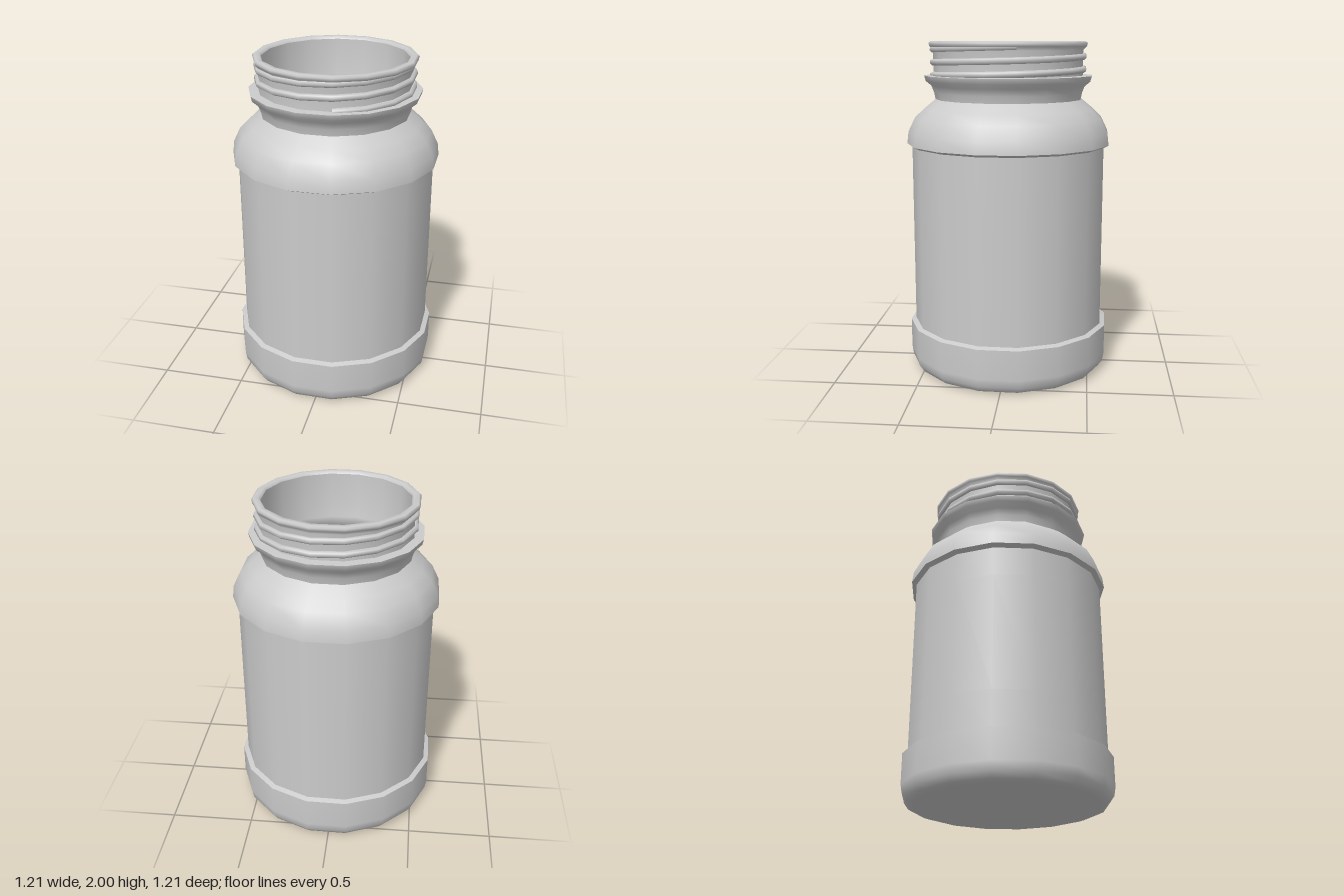
import * as THREE from 'three';

const SIDES = 16;
const START = THREE.MathUtils.degToRad(10.35); // turn of the 16-sided cross-section

// Screw thread: a helix climbing round the neck
class Helix extends THREE.Curve {
  constructor(radius, y0, pitch, turns) {
    super();
    Object.assign(this, { radius, y0, pitch, turns });
  }
  getPoint(t, target = new THREE.Vector3()) {
    const turn = t * this.turns;
    const a = START + turn * Math.PI * 2;
    return target.set(this.radius * Math.sin(a), this.y0 + turn * this.pitch, this.radius * Math.cos(a));
  }
}

export function createModel() {
  const group = new THREE.Group();
  group.name = 'jar';
  const material = new THREE.MeshStandardMaterial({ color: 0xcccccc, side: THREE.DoubleSide });

  const add = (name, geometry) => {
    const mesh = new THREE.Mesh(geometry, material);
    mesh.name = name;
    group.add(mesh);
  };
  const lathe = (name, points) =>
    add(name, new THREE.LatheGeometry(points.map(([r, y]) => new THREE.Vector2(r, y)), SIDES, START));

  // Underside, rounded base band and its step
  lathe('base', [[0, 0.01], [0.45, 0.008], [0.54, 0], [0.582, 0.014], [0.608, 0.05], [0.617, 0.1], [0.617, 0.28]]);
  lathe('baseStep', [[0.617, 0.28], [0.587, 0.29]]);

  // Recessed label wall
  lathe('labelWall', [[0.587, 0.29], [0.587, 0.5], [0.587, 1.2], [0.587, 1.38]]);

  // Overhanging shoulder narrowing to the waist
  lathe('shoulderStep', [[0.587, 1.38], [0.617, 1.395]]);
  lathe('shoulder', [[0.617, 1.395], [0.609, 1.465], [0.568, 1.55], [0.51, 1.605], [0.442, 1.66]]);

  // Flared collar with a flat shelf
  lathe('collar', [[0.442, 1.66], [0.45, 1.7], [0.466, 1.74], [0.5, 1.768], [0.508, 1.8]]);
  lathe('collarShelf', [[0.508, 1.8], [0.452, 1.802]]);

  // Neck wall, rim and hollow inside down to the floor
  lathe('neck', [[0.452, 1.8], [0.452, 1.95], [0.474, 1.972], [0.479, 1.99], [0.468, 2], [0.438, 2], [0.428, 1.985]]);
  lathe('inside', [
    [0.428, 1.985], [0.424, 1.8], [0.403, 1.72], [0.403, 1.66], [0.48, 1.59], [0.54, 1.52],
    [0.56, 1.4], [0.56, 0.12], [0.53, 0.05], [0.48, 0.035], [0, 0.035],
  ]);

  // Thread, beginning in the shelf and ending under the rim
  add('thread', new THREE.TubeGeometry(new Helix(0.455, 1.803, 0.075, 2.25), SIDES * 2.25, 0.019, 6));

  return group;
}
